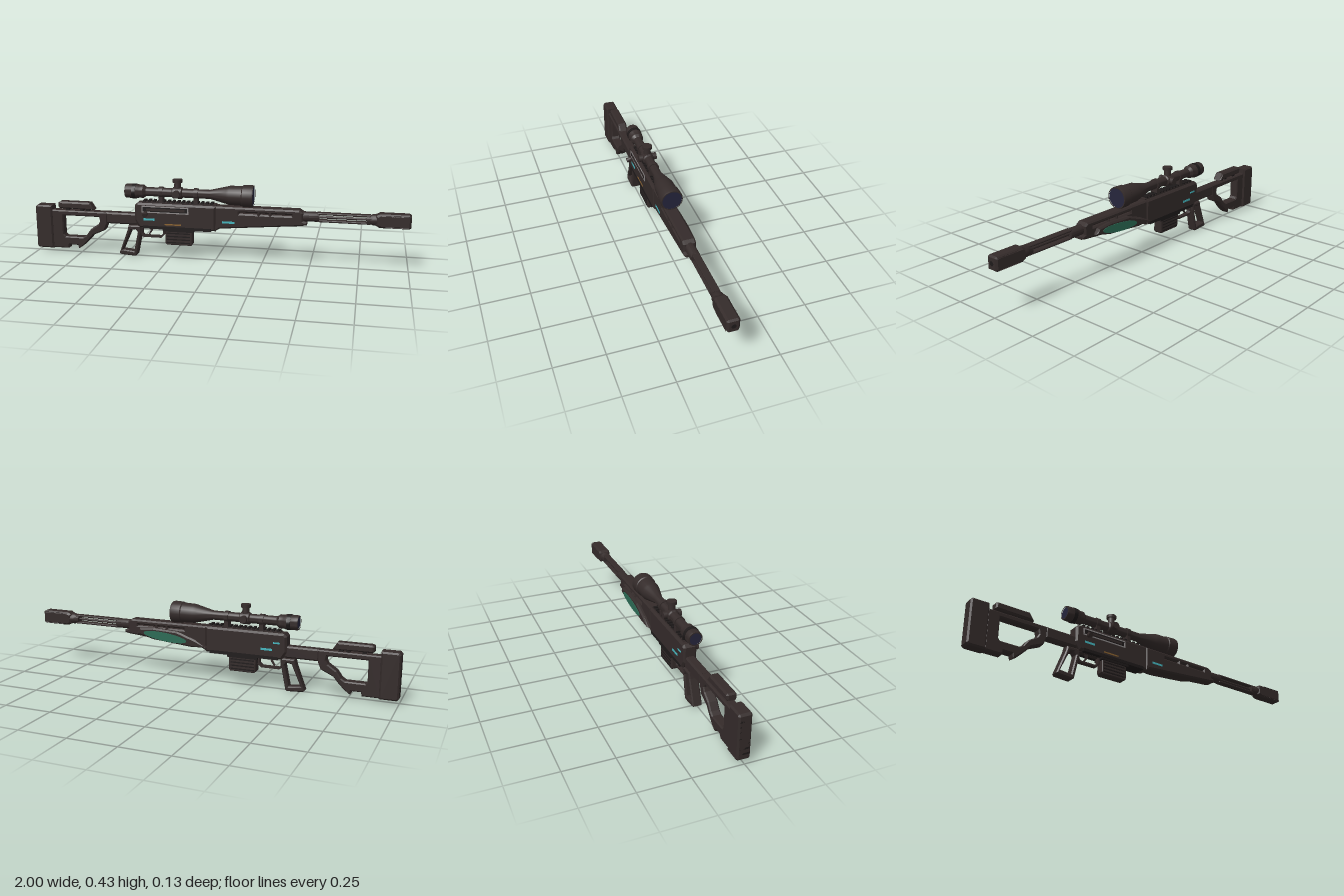
import * as THREE from 'three';
import { toCreasedNormals } from 'three/addons/utils/BufferGeometryUtils.js';

const mat = (name, color) => Object.assign(new THREE.MeshStandardMaterial({ color }), { name });

export function createModel() {
  const body = mat('gunmetal', 0x342b2a);
  const dark = mat('darkPolymer', 0x1e1a1a);
  const glass = mat('lensGlass', 0x25253c);
  const green = mat('greenInlay', 0x2c6b55);
  const cyan = mat('cyanMark', 0x45b5bd);
  const amber = mat('amberMark', 0x8a6230);
  const steel = mat('paleSteel', 0x8c8888);

  const root = new THREE.Group();
  root.name = 'rifle';
  const gun = new THREE.Group();
  gun.name = 'rifleBody';
  gun.position.z = -0.005;
  root.add(gun);

  const add = (name, geo, material, x = 0, y = 0, z = 0) => {
    const m = new THREE.Mesh(geo, material);
    m.name = name;
    m.position.set(x, y, z);
    gun.add(m);
    return m;
  };
  // Box given by its x and y limits and its width in z
  const box = (name, x0, x1, y0, y1, w, material = body, z = 0) =>
    add(name, new THREE.BoxGeometry(x1 - x0, y1 - y0, w), material, (x0 + x1) / 2, (y0 + y1) / 2, z);
  const pts = (list) => list.map(([x, y]) => new THREE.Vector2(x, y));
  const rect = (x0, x1, y0, y1) => [[x0, y0], [x1, y0], [x1, y1], [x0, y1]];
  // Side outline extruded across z with bevelled edges
  const plate = (name, outline, w, bevel = 0, holes = [], material = body, z = 0) => {
    const shape = new THREE.Shape(pts(outline));
    shape.holes = holes.map((h) => new THREE.Path(pts(h)));
    const geo = new THREE.ExtrudeGeometry(shape, {
      depth: w - 2 * bevel, bevelEnabled: bevel > 0, bevelSize: bevel,
      bevelOffset: -bevel, bevelThickness: bevel, bevelSegments: 1,
    });
    geo.translate(0, 0, -(w - 2 * bevel) / 2);
    return add(name, geo, material, 0, 0, z);
  };
  // Turned part along x from [x, radius] pairs
  const turned = (name, profile, y, material = body, sides = 24, z = 0) => {
    const geo = new THREE.LatheGeometry(pts(profile.map(([x, r]) => [r, x])), sides);
    geo.rotateZ(-Math.PI / 2);
    return add(name, toCreasedNormals(geo, 0.6), material, 0, y, z);
  };

  // Butt pad and skeleton stock
  plate('buttPad', [[-1, 0.03], [-0.99, 0.02], [-0.905, 0.02], [-0.905, 0.26], [-0.99, 0.26], [-1, 0.25]], 0.066, 0.008);
  for (let i = 0; i < 7; i++) box('buttPadRib', -1, -0.994, 0.05 + i * 0.028, 0.06 + i * 0.028, 0.05, dark);
  plate('stockFrame', [
    [-0.91, 0.022], [-0.82, 0.022], [-0.815, 0.042], [-0.767, 0.042], [-0.762, 0.022], [-0.73, 0.045],
    [-0.70, 0.075], [-0.675, 0.105], [-0.61, 0.135], [-0.595, 0.17], [-0.59, 0.235], [-0.91, 0.235],
  ], 0.05, 0.006, [[
    [-0.845, 0.10], [-0.835, 0.088], [-0.735, 0.088], [-0.715, 0.10], [-0.69, 0.135], [-0.645, 0.165],
    [-0.635, 0.185], [-0.64, 0.207], [-0.845, 0.207],
  ]]);
  plate('cheekRest', [[-0.87, 0.25], [-0.86, 0.245], [-0.665, 0.245], [-0.69, 0.283], [-0.86, 0.283], [-0.87, 0.277]], 0.05, 0.008);
  for (const x of [-0.83, -0.75, -0.715]) box('cheekRestPost', x, x + 0.018, 0.23, 0.25, 0.024, dark);
  plate('stockTube', rect(-0.6, -0.42, 0.175, 0.236), 0.05, 0.008);

  // Receiver with ejection port and bolt
  plate('receiver', [
    [-0.435, 0.205], [-0.41, 0.165], [0.005, 0.165], [0.005, 0.30], [-0.42, 0.30], [-0.435, 0.285],
  ], 0.07, 0.01);
  box('lowerReceiver', -0.39, -0.02, 0.162, 0.178, 0.072, dark);
  plate('portFrame', rect(-0.395, -0.14, 0.25, 0.287), 0.006, 0,
    [rect(-0.389, -0.146, 0.256, 0.281)], steel, 0.0345);
  box('portCover', -0.389, -0.146, 0.256, 0.281, 0.004, dark, 0.0345);
  box('boltCarrier', -0.37, -0.16, 0.262, 0.274, 0.006, body, 0.035);
  const arm = add('boltArm', new THREE.CylinderGeometry(0.005, 0.006, 0.035, 10), body, -0.37, 0.252, 0.043);
  arm.rotation.x = Math.PI / 2 + 0.3;
  const knob = add('boltKnob', new THREE.CylinderGeometry(0.013, 0.013, 0.022, 10), body, -0.37, 0.245, 0.058);
  knob.rotation.x = Math.PI / 2 + 0.3;

  // Grip, trigger and magazine
  plate('pistolGrip', [
    [-0.53, 0.012], [-0.52, 0.005], [-0.44, 0], [-0.43, 0.008], [-0.405, 0.13], [-0.405, 0.17], [-0.475, 0.17], [-0.482, 0.14],
  ], 0.05, 0.006, [[[-0.51, 0.032], [-0.447, 0.026], [-0.424, 0.135], [-0.435, 0.15], [-0.46, 0.145]]]);
  plate('triggerGuard', [[-0.41, 0.125], [-0.395, 0.108], [-0.295, 0.108], [-0.278, 0.125], [-0.278, 0.168], [-0.41, 0.168]],
    0.026, 0, [[[-0.4, 0.127], [-0.39, 0.117], [-0.3, 0.117], [-0.287, 0.13], [-0.287, 0.161], [-0.4, 0.161]]]);
  plate('trigger', [[-0.365, 0.165], [-0.355, 0.145], [-0.368, 0.125], [-0.36, 0.124], [-0.345, 0.145], [-0.345, 0.165]], 0.01);
  box('magazineWell', -0.28, -0.115, 0.15, 0.168, 0.064, dark);
  plate('magazine', [[-0.27, 0.085], [-0.262, 0.075], [-0.13, 0.075], [-0.123, 0.083], [-0.123, 0.16], [-0.27, 0.16]], 0.05, 0.004);
  for (let i = 0; i < 4; i++) box('magazineRib', -0.262, -0.135, 0.086 + i * 0.017, 0.092 + i * 0.017, 0.056, dark);

  // Handguard with vent slots and tapering underside
  plate('handguard', [
    [0, 0.165], [0.025, 0.181], [0.45, 0.218], [0.48, 0.224], [0.48, 0.238], [0.46, 0.245], [0.46, 0.287], [0.44, 0.30], [0, 0.30],
  ], 0.066, 0.008, [rect(0.13, 0.22, 0.268, 0.274), rect(0.24, 0.28, 0.268, 0.274), rect(0.3, 0.4, 0.268, 0.274)]);

  // Raised inlaid panel on the far side
  const lens = (rx, ry) => Array.from({ length: 24 }, (_, i) => {
    const a = (i / 24) * Math.PI * 2;
    return [0.23 + rx * Math.cos(a), 0.226 + 0.1 * rx * Math.cos(a) + ry * Math.sin(a)];
  });
  plate('sidePanelRim', [
    [-0.01, 0.19], [0.08, 0.185], [0.3, 0.205], [0.40, 0.23], [0.38, 0.258], [0.3, 0.267], [0.16, 0.26], [0.06, 0.225],
  ], 0.028, 0.008, [], body, -0.038);
  plate('sidePanelInlay', lens(0.125, 0.023), 0.003, 0, [], green, -0.053);

  // Barrel: slotted shroud around a core
  turned('barrelBase', [[0.44, 0], [0.44, 0.026], [0.53, 0.026], [0.54, 0.024], [0.54, 0]], 0.265, body, 16);
  turned('barrelCore', [[0.53, 0.0075], [0.8, 0.0075]], 0.265, body, 12);
  for (const s of [-1, 1]) plate('barrelRail', rect(0.53, 0.8, 0.265 + s * 0.019 - 0.005, 0.265 + s * 0.019 + 0.005), 0.036, 0.003);
  turned('barrelCollar', [[0.78, 0], [0.78, 0.024], [0.80, 0.024], [0.81, 0.029], [0.845, 0.029], [0.845, 0]], 0.265, body, 16);

  // Muzzle brake with three ports
  plate('muzzleBrake', [
    [0.825, 0.24], [0.845, 0.229], [0.99, 0.229], [1, 0.236], [1, 0.294], [0.99, 0.301], [0.845, 0.301], [0.825, 0.29],
  ], 0.064, 0.01, [0.882, 0.918, 0.954].map((x) => rect(x, x + 0.026, 0.244, 0.286)));
  turned('muzzleBore', [[0.995, 0.012], [1.0005, 0.012], [1.0005, 0]], 0.265, dark, 12);

  // Top rail
  box('railBase', -0.395, 0.005, 0.298, 0.306, 0.04);
  for (let i = 0; i < 15; i++) box('railTooth', -0.39 + i * 0.026, -0.376 + i * 0.026, 0.305, 0.314, 0.04, dark);

  // Telescopic sight
  const sy = 0.357;
  turned('scopeTube', [
    [-0.488, 0.03], [-0.488, 0.036], [-0.48, 0.038], [-0.42, 0.038], [-0.415, 0.035], [-0.39, 0.035], [-0.375, 0.024],
    [-0.03, 0.024], [0.06, 0.046], [0.075, 0.05], [0.14, 0.052], [0.145, 0.056], [0.19, 0.058], [0.2, 0.056], [0.2, 0.051],
  ], sy);
  turned('objectiveLens', [[0.19, 0.052], [0.197, 0.052], [0.197, 0]], sy, glass);
  turned('eyepieceLens', [[-0.485, 0], [-0.485, 0.031], [-0.48, 0.031]], sy, glass);
  turned('focusRing', [[-0.45, 0.036], [-0.45, 0.04], [-0.43, 0.04], [-0.43, 0.036]], sy, dark);
  for (const x of [-0.295, -0.105]) {
    turned('mountRing', [[x - 0.011, 0.022], [x - 0.011, 0.029], [x + 0.011, 0.029], [x + 0.011, 0.022]], sy);
    box('mountFoot', x - 0.011, x + 0.011, 0.303, 0.335, 0.042);
  }
  turned('turretHousing', [[-0.235, 0.022], [-0.228, 0.031], [-0.182, 0.031], [-0.175, 0.022]], sy);
  add('elevationNeck', new THREE.CylinderGeometry(0.017, 0.02, 0.05, 16), body, -0.205, 0.395, 0);
  add('elevationKnob', new THREE.CylinderGeometry(0.026, 0.026, 0.016, 20), body, -0.205, 0.422, 0);
  for (const s of [-1, 1]) {
    const side = add('sideKnob', new THREE.CylinderGeometry(0.019, 0.019, 0.024, 16), body, -0.205, sy, s * 0.036);
    side.rotation.x = Math.PI / 2;
  }

  // Painted marks
  const mark = (name, x0, x1, y, h, s, material) => box(name, x0, x1, y - h / 2, y + h / 2, 0.003, material, s * 0.0355);
  mark('receiverMark', -0.385, -0.325, 0.213, 0.011, 1, cyan);
  mark('receiverMarkFar', -0.36, -0.3, 0.213, 0.011, -1, cyan);
  mark('upperMarkFar', -0.4, -0.365, 0.25, 0.008, -1, cyan);
  mark('amberMark', -0.27, -0.18, 0.19, 0.007, 1, amber);
  box('handguardMark', 0.04, 0.105, 0.213, 0.224, 0.003, cyan, 0.0335);
  return root;
}
